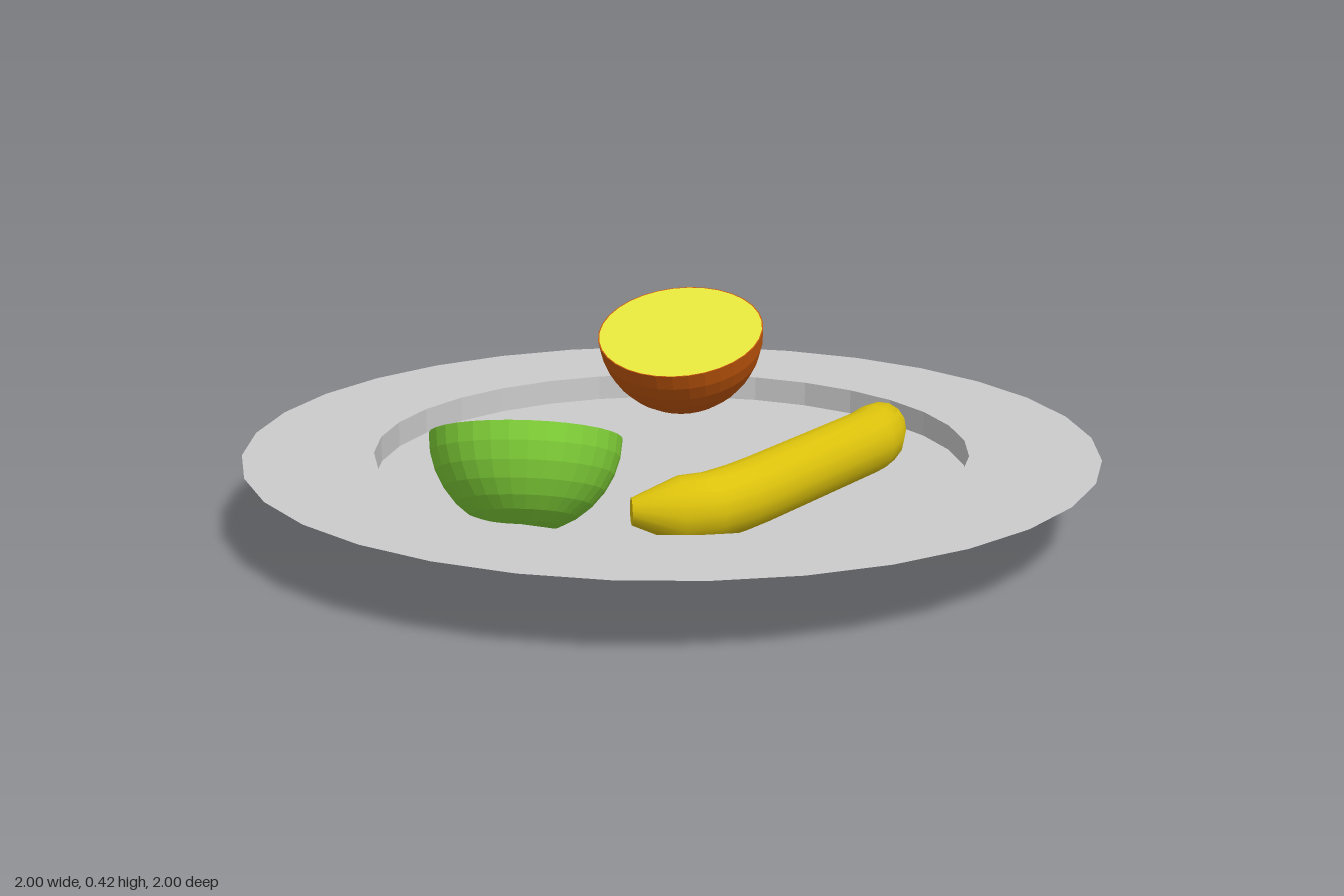
import * as THREE from 'three';
import { toCreasedNormals } from 'three/addons/utils/BufferGeometryUtils.js';

const mat = (color, flatShading = false) => new THREE.MeshStandardMaterial({ color, flatShading });

function add(parent, name, geometry, material) {
  const mesh = new THREE.Mesh(geometry, material);
  mesh.name = name;
  parent.add(mesh);
  return mesh;
}

const profile = (pairs) => pairs.map(([x, y]) => new THREE.Vector2(x, y));

// Half a fruit: a rind bowl with a thin lip, closed by the cut face, tipped towards a normal
function halfFruit(name, center, normal, lip, rindColor, fleshColor) {
  const R = 0.21, bands = 8;
  const pts = [];
  for (let i = 0; i <= bands; i++) {
    const a = (i / bands) * Math.PI / 2;
    pts.push([R * Math.sin(a), -R * Math.cos(a)]);
  }
  pts[bands][1] = 0;
  pts.push([R - lip, 0]);
  const fruit = new THREE.Group();
  fruit.name = name;
  add(fruit, name + 'Rind', new THREE.LatheGeometry(profile(pts), 32), mat(rindColor, true));
  add(fruit, name + 'CutFace', new THREE.CircleGeometry(R - lip, 32).rotateX(-Math.PI / 2), mat(fleshColor));
  fruit.position.set(...center);
  fruit.quaternion.setFromUnitVectors(new THREE.Vector3(0, 1, 0), new THREE.Vector3(...normal).normalize());
  return fruit;
}

// Banana skin: round sections [x, z, radius, heading in degrees] joined in order
function bananaGeometry(sections, y, sides) {
  const pos = [], index = [];
  sections.forEach(([x, z, r, deg], i) => {
    const a = THREE.MathUtils.degToRad(deg);
    for (let j = 0; j < sides; j++) {
      const t = (j / sides) * Math.PI * 2, c = r * Math.cos(t);
      pos.push(x + c * Math.cos(a), y + r * Math.sin(t), z + c * Math.sin(a));
      if (i === 0) continue;
      const k = (j + 1) % sides, p = (i - 1) * sides, q = i * sides;
      index.push(p + j, q + j, p + k, p + k, q + j, q + k);
    }
  });
  const geo = new THREE.BufferGeometry();
  geo.setAttribute('position', new THREE.Float32BufferAttribute(pos, 3));
  geo.setIndex(index);
  return toCreasedNormals(geo, 0.8);
}

export function createModel() {
  const model = new THREE.Group();
  model.name = 'fruitPlate';

  // Plate with a wide flat rim and a shallow sunken floor
  const plate = [[0, 0], [0.42, 0], [1, 0.18], [0.695, 0.18], [0.695, 0.12], [0, 0.12]];
  add(model, 'plate', new THREE.LatheGeometry(profile(plate), 32), mat(0xcccccc, true));

  // Two halved fruits leaning on the rim
  model.add(halfFruit('greenFruit', [-0.152, 0.335, 0.548], [-0.11, 0.91, -0.41], 0.006, 0x80d038, 0xf6f1ac));
  model.add(halfFruit('orangeFruit', [-0.155, 0.325, -0.545], [0.02, 0.94, 0.34], 0.003, 0xc4580c, 0xe4e43c));

  // Banana lying on the floor, blunt at both ends
  const banana = [
    [0.1, 0.58, 0, 65], [0.1, 0.58, 0.03, 65], [0.195, 0.537, 0.075, 60], [0.245, 0.49, 0.075, 42],
    [0.283, 0.41, 0.075, 24], [0.31, 0.33, 0.075, 18], [0.44, -0.12, 0.075, 13],
    [0.443, -0.17, 0.075, -5], [0.443, -0.215, 0.073, -35],
    [0.39, -0.275, 0.038, -65], [0.39, -0.275, 0, -65],
  ];
  add(model, 'banana', bananaGeometry(banana, 0.198, 16), mat(0xdcc20c));

  return model;
}
